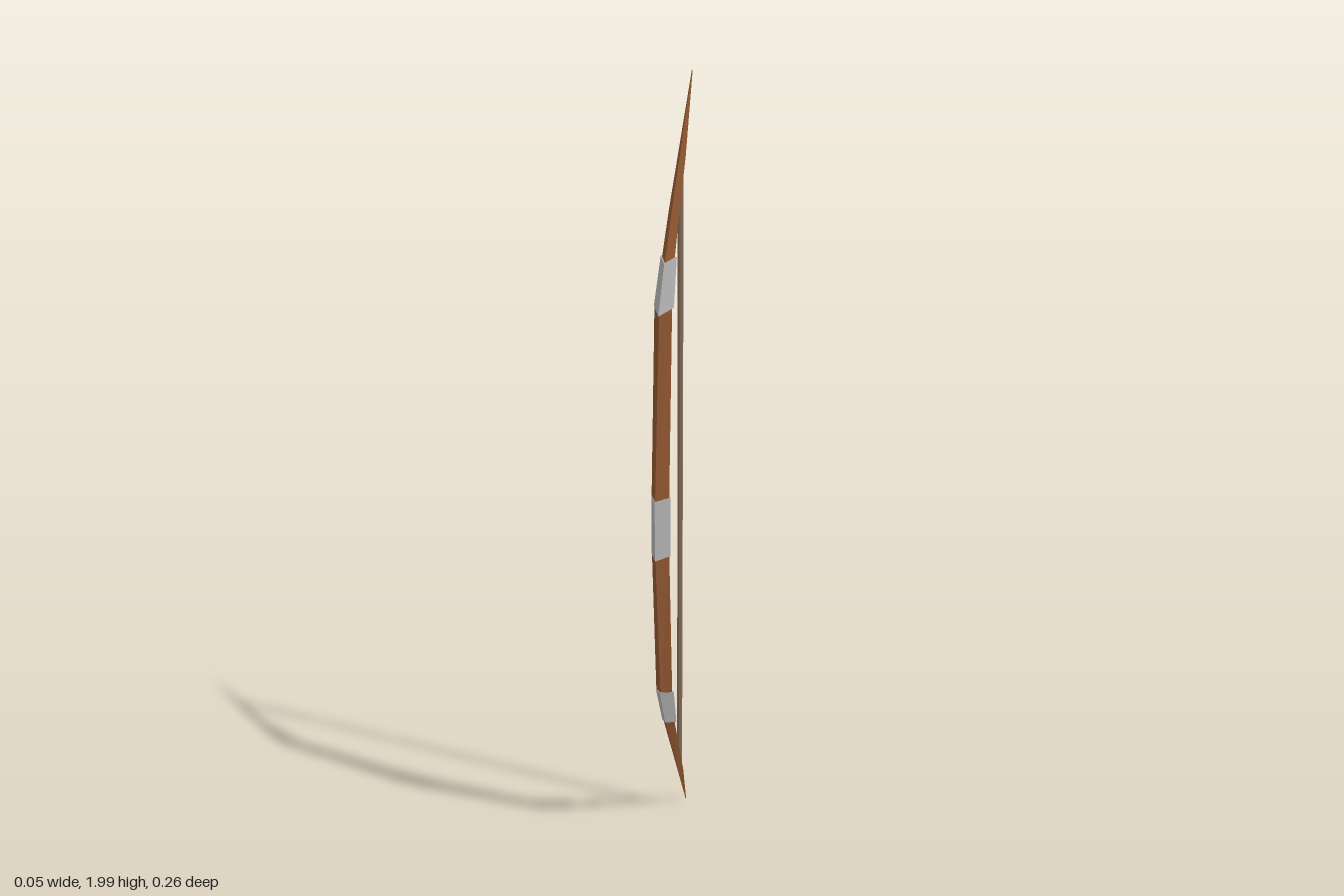
import * as THREE from 'three';

const wood = new THREE.MeshStandardMaterial({ color: 0x8f5630, flatShading: true });
const metal = new THREE.MeshStandardMaterial({ color: 0xb2b2b2, flatShading: true });
const cord = new THREE.MeshStandardMaterial({ color: 0x86705a, flatShading: true });
wood.name = 'wood';
metal.name = 'metal band';
cord.name = 'string';

// Lofts a triangular section (ridge forward, flat back) through stations, bottom to top:
// [y at the back, z of ridge, z of back, half width, y offset of ridge]
function loft(name, stations, material) {
  const rings = stations.map(([y, zf, zb, w, dy = 0]) => [[0, y + dy, zf], [w, y, zb], [-w, y, zb]]);
  const p = [];
  const tri = (a, b, c) => p.push(...a, ...b, ...c);
  for (let i = 0; i < rings.length - 1; i++) {
    const lo = rings[i], hi = rings[i + 1];
    for (let k = 0; k < 3; k++) {
      const n = (k + 1) % 3;
      tri(lo[k], lo[n], hi[n]);
      tri(lo[k], hi[n], hi[k]);
    }
  }
  const first = rings[0], last = rings[rings.length - 1];
  tri(first[0], first[2], first[1]);
  tri(last[0], last[1], last[2]);
  const g = new THREE.BufferGeometry();
  g.setAttribute('position', new THREE.Float32BufferAttribute(p, 3));
  g.computeVertexNormals();
  const mesh = new THREE.Mesh(g, material);
  mesh.name = name;
  return mesh;
}

export function createModel() {
  const bow = new THREE.Group();
  bow.name = 'bow';

  // Stave, tapering to both tips
  bow.add(loft('stave', [
    [0.012, -0.103, -0.105, 0.001],
    [0.14, -0.042, -0.057, 0.009],
    [0.35, 0.055, 0.034, 0.016],
    [0.465, 0.096, 0.068, 0.022],
    [0.86, 0.128, 0.091, 0.023],
    [1.015, 0.128, 0.091, 0.023],
    [1.475, 0.096, 0.068, 0.022],
    [1.59, 0.055, 0.034, 0.016],
    [1.70, 0.009, -0.008, 0.013],
    [1.81, -0.042, -0.057, 0.010],
    [2.0, -0.128, -0.130, 0.001],
  ], wood));

  // Grip and limb bands
  bow.add(loft('grip', [
    [0.857, 0.131, 0.088, 0.025],
    [1.015, 0.131, 0.088, 0.025],
  ], metal));
  bow.add(loft('lowerBand', [
    [0.345, 0.061, 0.030, 0.020, 0.012],
    [0.455, 0.101, 0.063, 0.025, 0.014],
  ], metal));
  bow.add(loft('upperBand', [
    [1.485, 0.101, 0.063, 0.025, -0.014],
    [1.597, 0.061, 0.030, 0.020, -0.012],
  ], metal));

  // Bowstring
  const string = new THREE.Mesh(new THREE.CylinderGeometry(0.007, 0.007, 1.66, 6), cord);
  string.name = 'bowstring';
  string.position.set(0, 0.98, -0.052);
  bow.add(string);

  return bow;
}
